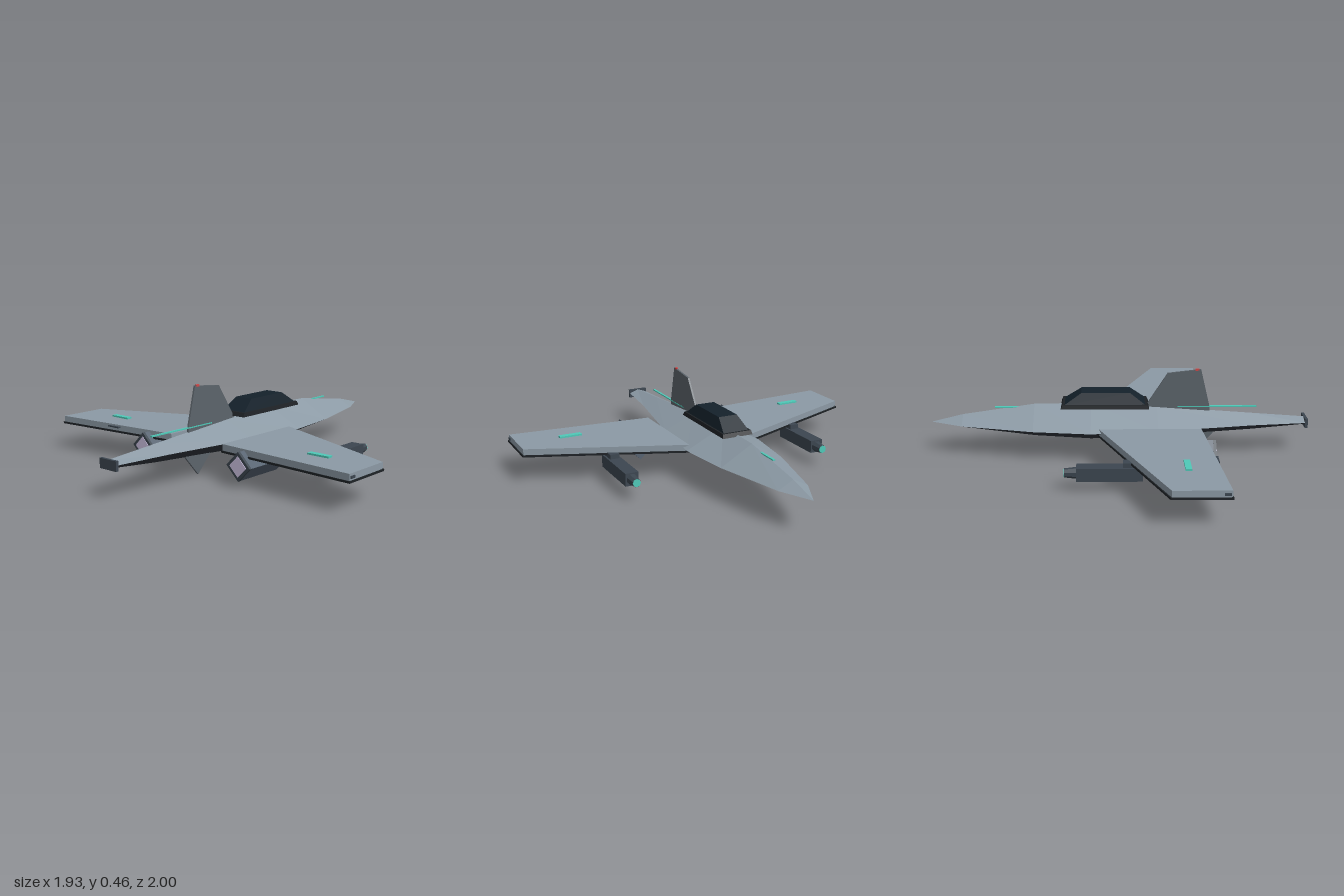
import * as THREE from 'three';

const mat = (color, side = THREE.FrontSide) => {
  const m = new THREE.MeshStandardMaterial({ color, flatShading: true, side });
  return m;
};
const hull = mat(0x8c9aa5), belly = mat(0x30353c), dark = mat(0x3c4650), podGrey = mat(0x566270);
const finGrey = mat(0x5c646b), glass = mat(0x14212b), teal = mat(0x4fc9b8), glow = mat(0xcfc4e4);
const red = mat(0xd04848), under = mat(0x1e2226);

export function createModel() {
  const model = new THREE.Group();
  const add = (name, geo, material, x = 0, y = 0, z = 0, parent = model) => {
    const mesh = new THREE.Mesh(geo, material);
    mesh.name = name;
    mesh.position.set(x, y, z);
    parent.add(mesh);
    return mesh;
  };
  const box = (name, material, x0, x1, y0, y1, z0, z1, parent) =>
    add(name, new THREE.BoxGeometry(x1 - x0, y1 - y0, z1 - z0), material,
      (x0 + x1) / 2, (y0 + y1) / 2, (z0 + z1) / 2, parent);
  const polygon = (pts) => new THREE.Shape(pts.map((p) => new THREE.Vector2(p[0], p[1])));

  // Fuselage stations: z, half width, top, bottom; diamond section with its edge at y = 0.17
  const stations = [
    [-1, 0, 0.17, 0.17], [-0.83, 0.08, 0.212, 0.14], [-0.45, 0.172, 0.268, 0.09], [-0.15, 0.21, 0.272, 0.07],
    [0.2, 0.172, 0.25, 0.085], [0.7, 0.085, 0.212, 0.12], [0.99, 0.052, 0.19, 0.147],
  ];
  const shell = (section) => {
    const v = [];
    for (let i = 0; i < stations.length - 1; i++) {
      const a = section(stations[i]), b = section(stations[i + 1]);
      for (let k = 0; k < 2; k++) {
        if (i > 0) v.push(...a[k], ...a[k + 1], ...b[k + 1]);
        v.push(...a[k], ...b[k + 1], ...b[k]);
      }
    }
    const g = new THREE.BufferGeometry();
    g.setAttribute('position', new THREE.Float32BufferAttribute(v, 3));
    g.computeVertexNormals();
    return g;
  };
  add('upperFuselage', shell(([z, w, t]) => [[w, 0.17, z], [0, t, z], [-w, 0.17, z]]), hull);
  add('lowerFuselage', shell(([z, w, , b]) => [[-w, 0.17, z], [0, b, z], [w, 0.17, z]]), belly);
  box('tailCap', dark, -0.055, 0.055, 0.143, 0.192, 0.985, 1);

  // Canopy: frame and tapered glass
  const frustum = (w0, w1, y0, y1, base, top) => {
    const g = new THREE.BoxGeometry(2, 1, 2);
    const p = g.attributes.position;
    for (let i = 0; i < p.count; i++) {
      const up = p.getY(i) > 0, range = up ? top : base;
      p.setXYZ(i, p.getX(i) * (up ? w1 : w0), up ? y1 : y0, range[p.getZ(i) > 0 ? 1 : 0]);
    }
    g.computeVertexNormals();
    return g;
  };
  add('canopyFrame', frustum(0.084, 0.08, 0.262, 0.283, [-0.308, 0.155], [-0.3, 0.145]), under);
  add('canopyGlass', frustum(0.072, 0.052, 0.28, 0.342, [-0.292, 0.138], [-0.2, 0.055]), glass);

  // Dorsal and ventral fins, drawn as z, y
  const fin = (name, pts, t) => {
    const g = new THREE.ExtrudeGeometry(polygon(pts), { depth: t, bevelEnabled: false });
    g.rotateY(-Math.PI / 2);
    add(name, g, finGrey, t / 2);
  };
  fin('tailFin', [[0.48, 0.21], [0.48, 0.25], [0.43, 0.455], [0.255, 0.435], [0.13, 0.24]], 0.01);
  fin('ventralFin', [[0.32, 0.13], [0.32, 0.1], [0.415, 0.002], [0.5, 0.1], [0.5, 0.13]], 0.01);
  box('finLight', red, -0.006, 0.006, 0.448, 0.458, 0.4, 0.42);

  // Light strips along the spine
  box('rearSpineStrip', teal, -0.006, 0.006, 0.247, 0.253, 0.31, 0.73);
  box('frontSpineStrip', teal, -0.006, 0.006, 0.247, 0.253, -0.66, -0.45);

  for (const s of [1, -1]) {
    const side = new THREE.Group();
    side.name = s > 0 ? 'leftWingAssembly' : 'rightWingAssembly';
    model.add(side);

    // Wing slab over a slightly larger dark underside
    const slab = (name, material, top, depth, e) => {
      const pts = [[0.175 - e, -0.108 - e], [0.957 + e, 0.215 - e], [0.957 + e, 0.482 + e], [0.175 - e, 0.422 + e]];
      const g = new THREE.ExtrudeGeometry(polygon(pts.map(([x, z]) => [s * x, z])), { depth, bevelEnabled: false });
      g.rotateX(Math.PI / 2);
      add(name, g, material, 0, top, 0, side);
    };
    slab('wing', hull, 0.185, 0.032, 0);
    slab('wingUnderside', under, 0.153, 0.01, 0.005);
    add('wingLight', new THREE.BoxGeometry(0.12, 0.012, 0.03), teal, s * 0.675, 0.188, 0.308, side);
    add('wingTipLight', new THREE.BoxGeometry(0.008, 0.012, 0.03), dark, s * 0.959, 0.168, 0.46, side);

    // Diamond engine pod with glowing exhaust
    const diamond = (r, len) => new THREE.CylinderGeometry(r, r, len, 4).rotateX(Math.PI / 2);
    add('enginePod', diamond(0.072, 0.28), podGrey, s * 0.325, 0.107, 0.325, side);
    add('exhaustRim', diamond(0.073, 0.015), dark, s * 0.325, 0.107, 0.4725, side);
    add('exhaustGlow', diamond(0.052, 0.004), glow, s * 0.325, 0.107, 0.4805, side);

    // Underwing gun on a pylon
    add('gunPylon', new THREE.BoxGeometry(0.05, 0.03, 0.09), dark, s * 0.54, 0.14, 0.055, side);
    add('gunBody', new THREE.BoxGeometry(0.07, 0.067, 0.32), dark, s * 0.54, 0.097, 0.055 - 0.11, side);
    const barrel = new THREE.CylinderGeometry(0.022, 0.029, 0.06, 8).rotateX(-Math.PI / 2).rotateZ(Math.PI / 8);
    add('gunBarrel', barrel, dark, s * 0.54, 0.097, -0.243, side);
    add('gunMuzzle', new THREE.CylinderGeometry(0.021, 0.021, 0.004, 8).rotateX(Math.PI / 2), teal,
      s * 0.54, 0.097, -0.2735, side);
  }

  // Small panel on the trailing edge of the right wing
  box('trailingPanel', dark, -0.61, -0.53, 0.17, 0.177, 0.445, 0.466);
  return model;
}
